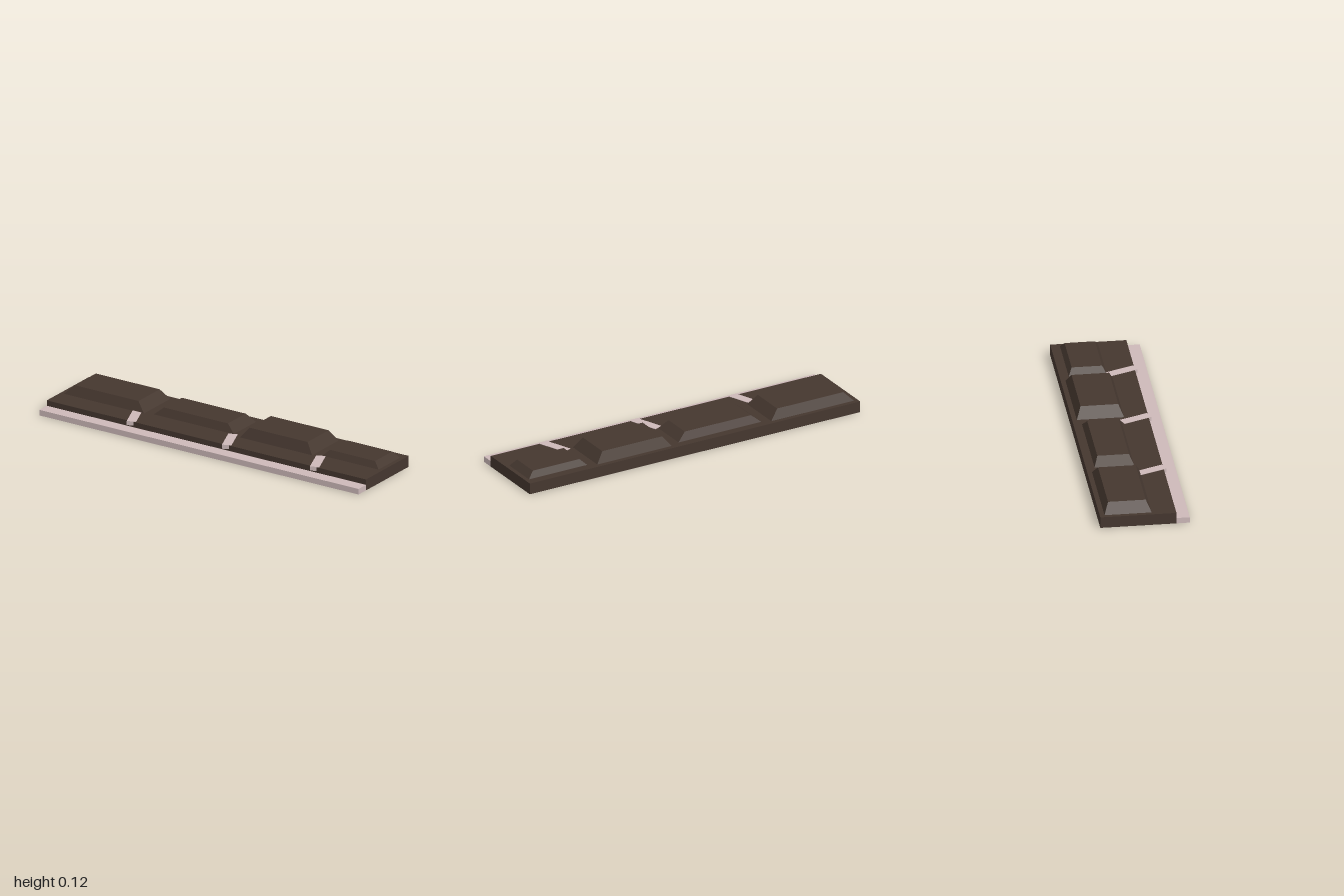
import * as THREE from 'three';

const brown = new THREE.MeshStandardMaterial({ name: 'dark brown', color: 0x45372f });
const pale = new THREE.MeshStandardMaterial({ name: 'pale pink', color: 0xcdb9b9 });

// Box given by its lower and upper corners
function block(name, material, min, max) {
  const size = max.map((v, i) => v - min[i]);
  const mesh = new THREE.Mesh(new THREE.BoxGeometry(...size), material);
  mesh.position.set(...max.map((v, i) => (v + min[i]) / 2));
  mesh.name = name;
  return mesh;
}

// Raised panel: a box whose top face is drawn in by a bevel on every side
function raisedPanel(name, x0, x1, z0, z1, y0, y1, bevelX, bevelZ) {
  const mesh = block(name, brown, [x0, y0, z0], [x1, y1, z1]);
  const p = mesh.geometry.attributes.position;
  for (let i = 0; i < p.count; i++) {
    if (p.getY(i) > 0) {
      p.setX(i, p.getX(i) - Math.sign(p.getX(i)) * bevelX);
      p.setZ(i, p.getZ(i) - Math.sign(p.getZ(i)) * bevelZ);
    }
  }
  mesh.geometry.computeVertexNormals();
  return mesh;
}

export function createModel() {
  const model = new THREE.Group();
  model.name = 'panelledSlab';
  const slabTop = 0.061;

  // Slab and the low ledge along its front
  model.add(block('slab', brown, [-1, 0, -0.235], [1, slabTop, 0.165]));
  model.add(block('frontLedge', pale, [-1, 0, 0.165], [1, 0.031, 0.235]));

  // Four bevelled panels: x0, x1, z0, z1, top, bevelX, bevelZ
  [
    [-0.977, -0.477, -0.21, 0.038, 0.112, 0.05, 0.025],
    [-0.428, 0.073, -0.19, 0.018, 0.103, 0.05, 0.021],
    [0.125, 0.577, -0.21, 0.038, 0.117, 0.045, 0.025],
    [0.625, 0.977, -0.187, 0.013, 0.095, 0.035, 0.02],
  ].forEach(([x0, x1, z0, z1, top, bx, bz], i) =>
    model.add(raisedPanel('panel' + (i + 1), x0, x1, z0, z1, slabTop, top, bx, bz)));

  // Slanted strips set into the front edge
  [-0.497, 0.1, 0.651].forEach((x, i) => {
    const strip = block('strip' + (i + 1), pale, [-0.025, 0.04, -0.08], [0.025, 0.063, 0.08]);
    strip.position.x = x;
    strip.position.z = 0.095;
    strip.rotation.y = 0.38;
    model.add(strip);
  });

  return model;
}
